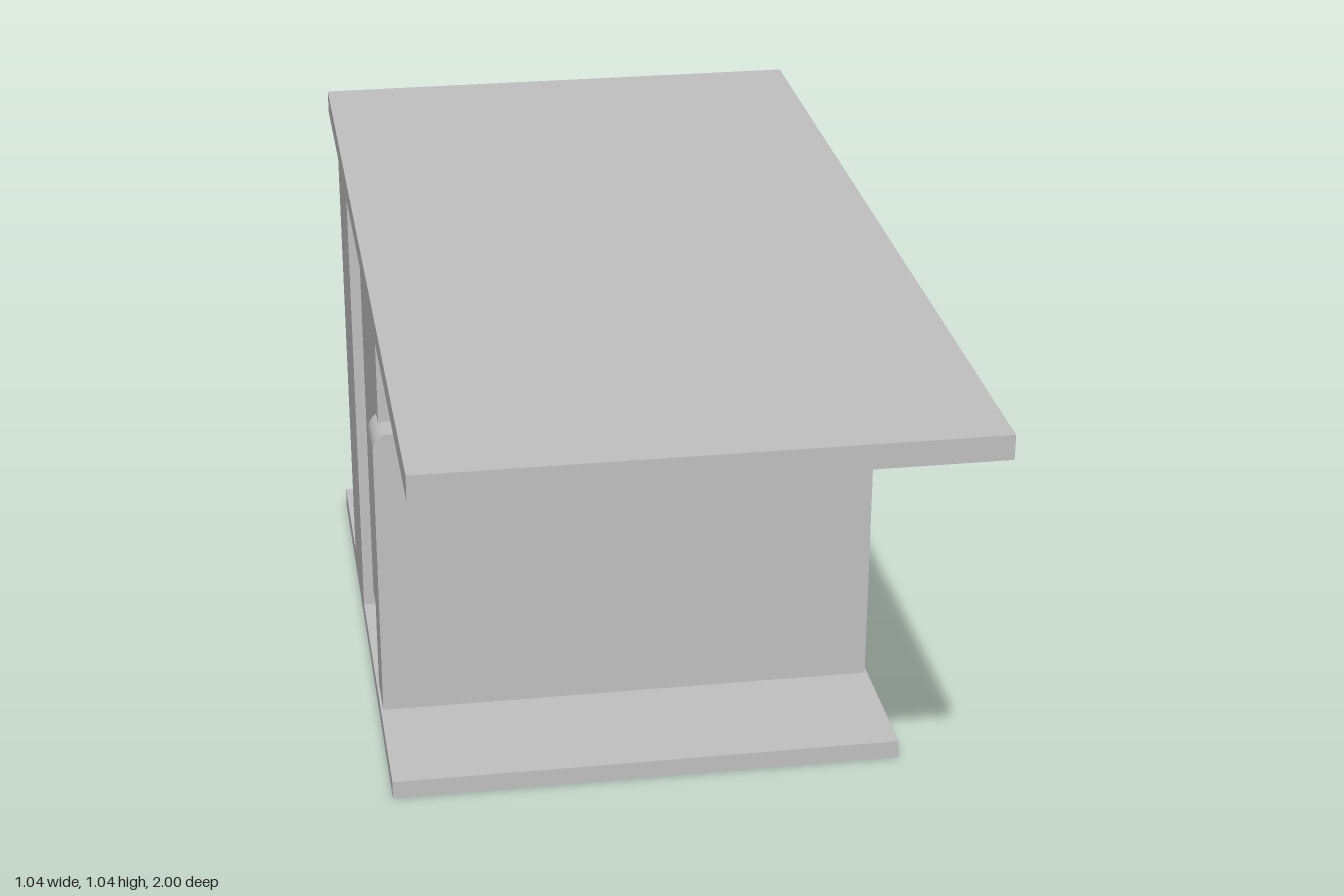
import * as THREE from 'three';

const grey = new THREE.MeshStandardMaterial({ color: 0xc0c0c0 });
grey.name = 'plainGrey';
const facetGrey = grey.clone();
facetGrey.name = 'plainGreyFaceted';
facetGrey.flatShading = true;

function add(group, name, geometry, material = grey) {
  const mesh = new THREE.Mesh(geometry, material);
  mesh.name = name;
  group.add(mesh);
  return mesh;
}

// Box given by its limits on each axis
function box(group, name, [x0, x1], [y0, y1], [z0, z1]) {
  const mesh = add(group, name, new THREE.BoxGeometry(x1 - x0, y1 - y0, z1 - z0));
  mesh.position.set((x0 + x1) / 2, (y0 + y1) / 2, (z0 + z1) / 2);
}

// Slab with rounded corners; rb and rt are the bottom and top radii
function slab(group, name, w, [y0, y1], [z0, z1], rb, rt) {
  const s = new THREE.Shape();
  s.moveTo(-w + rb, y0);
  s.lineTo(w - rb, y0);
  if (rb) s.absarc(w - rb, y0 + rb, rb, -Math.PI / 2, 0);
  s.lineTo(w, y1 - rt);
  s.absarc(w - rt, y1 - rt, rt, 0, Math.PI / 2);
  s.lineTo(-w + rt, y1);
  s.absarc(-w + rt, y1 - rt, rt, Math.PI / 2, Math.PI);
  s.lineTo(-w, y0 + rb);
  if (rb) s.absarc(-w + rb, y0 + rb, rb, Math.PI, Math.PI * 1.5);
  const geometry = new THREE.ExtrudeGeometry(s, { depth: z1 - z0, bevelEnabled: false, curveSegments: 8 });
  add(group, name, geometry).position.z = z0;
}

// Faceted roll with squashed round ends, lying along x
function pillowGeometry(halfLength, radius, cap) {
  const points = [];
  const steps = 7;
  for (let end = -1; end <= 1; end += 2) {
    for (let i = 0; i <= steps; i++) {
      const a = (end < 0 ? i : steps - i) / steps * Math.PI / 2;
      points.push(new THREE.Vector2(radius * Math.sin(a), end * (halfLength - cap + cap * Math.cos(a))));
    }
  }
  return new THREE.LatheGeometry(points, 16).rotateZ(Math.PI / 2);
}

export function createModel() {
  const bed = new THREE.Group();
  bed.name = 'bed';
  const W = 0.518;

  // Frame: the bed stands on its footboard
  box(bed, 'headboard', [-W, W], [0.993, 1.04], [-1, 1]);
  box(bed, 'footboard', [-W, W], [0, 0.038], [-1, 0.33]);
  box(bed, 'base', [-W, W], [0.038, 0.993], [-0.68, -0.425]);

  // Leg edges standing just proud of the footboard
  for (const side of [-1, 1]) {
    const limits = side < 0 ? [-W, -W + 0.052] : [W - 0.052, W];
    box(bed, side < 0 ? 'rightLeg' : 'leftLeg', limits, [0.03, 0.044], [-1, -0.68]);
  }

  // Bedding
  slab(bed, 'mattress', 0.496, [0.039, 0.98], [-0.425, -0.02], 0.035, 0.035);
  slab(bed, 'blanket', 0.513, [0.038, 0.669], [-0.07, 0.043], 0, 0.035);

  // Pillows
  const geometry = pillowGeometry(0.2035, 0.0705, 0.046);
  for (const side of [-1, 1]) {
    const pillow = add(bed, side < 0 ? 'rightPillow' : 'leftPillow', geometry, facetGrey);
    pillow.position.set(side * 0.2485, 0.877, 0.06);
    pillow.scale.z = 0.92;
  }
  return bed;
}
